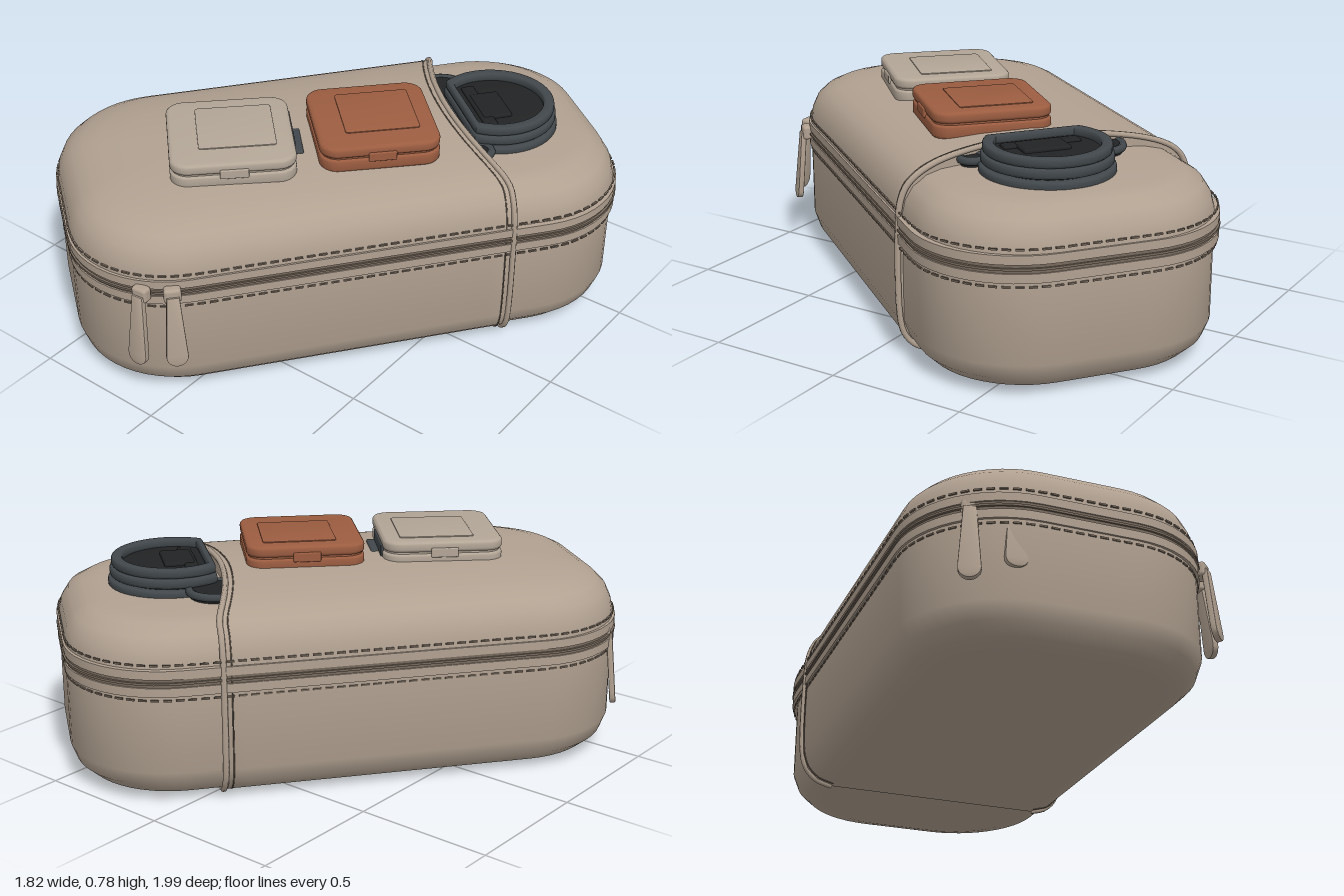
import * as THREE from 'three';
import { mergeGeometries, toCreasedNormals } from 'three/addons/utils/BufferGeometryUtils.js';
import { RoundedBoxGeometry } from 'three/addons/geometries/RoundedBoxGeometry.js';

const mat = (name, color) => Object.assign(new THREE.MeshStandardMaterial({ color }), { name });
const L = 1.005, W = 0.533, R = 0.37; // half length, half width, corner radius

export function createModel() {
  const fabric = mat('taupe fabric', 0xb1a191);
  const trim = mat('zipper brown', 0x776a5d);
  const pale = mat('pale case', 0xb3a697);
  const rust = mat('rust case', 0x9c5d41);
  const slate = mat('slate rubber', 0x41474b);
  const black = mat('black padding', 0x222324);

  const model = new THREE.Group();
  model.name = 'travelCase';
  const bag = new THREE.Group();
  bag.name = 'bag';
  bag.position.set(0.0175, 0, -0.0225);
  bag.rotation.y = THREE.MathUtils.degToRad(52.5);
  model.add(bag);

  const add = (parent, name, geo, m, x = 0, y = 0, z = 0) => {
    const mesh = new THREE.Mesh(geo, m);
    mesh.name = name;
    mesh.position.set(x, y, z);
    parent.add(mesh);
    return mesh;
  };

  // Rounded rectangle outline, shrunk by an inset
  function outline(inset) {
    const l = L - inset, w = W - inset, r = Math.max(0, R * (1 - Math.max(0, inset) / W));
    const corners = [[l - r, w - r], [r - l, w - r], [r - l, r - w], [l - r, r - w]];
    const pts = [];
    corners.forEach(([cx, cz], k) => {
      for (let i = 0; i <= 12; i++) {
        const a = (k + i / 12) * Math.PI / 2;
        pts.push([cx + r * Math.cos(a), cz + r * Math.sin(a)]);
      }
      const [nx, nz] = corners[(k + 1) % 4], a = (k + 1) * Math.PI / 2;
      for (let i = 1; i < 12; i++) {
        const t = i / 12;
        pts.push([cx + (nx - cx) * t + r * Math.cos(a), cz + (nz - cz) * t + r * Math.sin(a)]);
      }
    });
    return pts;
  }

  // Stack outlines along a profile of [inset, height]
  function loft(profile, place = (x, y, z) => [x, y, z]) {
    const pos = [], idx = [];
    const rings = profile.map(([d, y]) => outline(d).map(([x, z]) => place(x, y, z)));
    const n = rings[0].length;
    rings.forEach((ring) => ring.forEach((p) => pos.push(...p)));
    for (let i = 0; i < rings.length - 1; i++) {
      for (let j = 0; j < n; j++) {
        const a = i * n + j, b = i * n + (j + 1) % n;
        idx.push(a, a + n, b + n, a, b + n, b);
      }
    }
    const g = new THREE.BufferGeometry();
    g.setAttribute('position', new THREE.Float32BufferAttribute(pos, 3));
    g.setIndex(idx);
    return toCreasedNormals(g, 0.7);
  }

  // Front edge of the open pocket, dipping in the middle of the top
  const seam = (y, z) => 0.505 - (y > 0.55 ? 0.08 * Math.max(0, 1 - (z / 0.46) ** 2) : 0);

  // Inner shell, seen behind the pocket
  const floor = [[W, 0.008], [0.12, 0.01], [0.06, 0.025], [0.02, 0.065], [0, 0.12]];
  const shell = [...floor, [0, 0.5], [0.012, 0.55], [0.04, 0.595], [0.09, 0.625], [0.15, 0.635], [W, 0.638]];
  add(bag, 'rearShell', loft(shell, (x, y, z) => [x * 0.985 + 0.015, y, z * 0.977]), fabric);

  // Outer sleeve, cut off at the seam
  const sleeveProfile = [[W, 0.002], [0.12, 0.004], [0.06, 0.022], [0.02, 0.06], [0, 0.12], [0, 0.5],
    [0.008, 0.55], [0.028, 0.597], [0.06, 0.63], [0.1, 0.651], [0.16, 0.668], [0.25, 0.682], [0.36, 0.692], [W, 0.698]];
  add(bag, 'frontSleeve', loft(sleeveProfile, (x, y, z) => [Math.min(x, seam(y, z)), y, z]), fabric);

  // Piping along the cut edge of the sleeve
  const side = sleeveProfile.slice(1).map(([d, y]) => [W - d, y]);
  const seamPts = [...side, ...side.slice(0, -1).reverse().map(([z, y]) => [-z, y])]
    .map(([z, y]) => new THREE.Vector3(seam(y, z), y, z));
  const seamCurve = new THREE.CatmullRomCurve3(seamPts, false, 'centripetal');
  add(bag, 'seamPiping', new THREE.TubeGeometry(seamCurve, 120, 0.011, 6), fabric);
  const stitchCurve = new THREE.CatmullRomCurve3(seamPts.map((p) => new THREE.Vector3(p.x - 0.028, p.y, p.z)), false, 'centripetal');
  add(bag, 'seamStitching', new THREE.TubeGeometry(stitchCurve, 120, 0.0025, 5), trim);

  // Zipper bands round the whole bag
  const band = (name, y0, y1, out, m) =>
    add(bag, name, loft([[0.03, y0], [-out, y0], [-out, y1], [0.03, y1]]), m);
  band('lowerZipperTape', 0.405, 0.437, 0.007, fabric);
  band('zipperTeeth', 0.437, 0.467, 0.003, trim);
  band('zipperCoil', 0.448, 0.456, 0.009, trim);
  band('upperZipperTape', 0.467, 0.498, 0.007, fabric);

  // Dashed stitch rows above and below the zipper
  const edge = new THREE.CatmullRomCurve3(outline(-0.001).filter((p, i) => i % 2 === 0)
    .map(([x, z]) => new THREE.Vector3(x, 0, z)), true, 'centripetal');
  for (const y of [0.39, 0.515]) {
    const dashes = [];
    for (let i = 0; i < 130; i++) {
      const p = edge.getPointAt(i / 130), t = edge.getTangentAt(i / 130);
      dashes.push(new THREE.BoxGeometry(0.006, 0.006, 0.028)
        .rotateY(Math.atan2(t.x, t.z)).translate(p.x, y, p.z));
    }
    add(bag, 'stitchRow', mergeGeometries(dashes), trim);
  }

  // Headset cushion peeking out of the pocket: stacked D-shaped rims
  function dShape(r) {
    const s = new THREE.Shape();
    for (let i = 0; i < 48; i++) {
      const a = i / 48 * Math.PI * 2;
      const x = Math.max(r * Math.cos(a), -r * 0.62), y = r * Math.sin(a);
      if (i) s.lineTo(x, y); else s.moveTo(x, y);
    }
    return s;
  }
  const cushion = new THREE.Group();
  cushion.name = 'headsetCushion';
  cushion.position.set(0.595, 0, 0.04);
  bag.add(cushion);
  const slab = (shape, depth, bevel) => toCreasedNormals(new THREE.ExtrudeGeometry(shape, {
    depth: depth - 2 * bevel, bevelThickness: bevel, bevelSize: bevel, bevelOffset: -bevel,
    bevelSegments: 3, curveSegments: 10,
  }).rotateX(-Math.PI / 2).translate(0, bevel, 0), 0.7);
  [[0.232, 0.625], [0.225, 0.665], [0.218, 0.7]].forEach(([r, y]) => {
    const s = dShape(r);
    s.holes.push(dShape(r - 0.04));
    add(cushion, 'cushionRim', slab(s, 0.034, 0.01), slate, 0, y, 0);
  });
  add(cushion, 'cushionPad', slab(dShape(0.195), 0.075, 0.004), black, 0, 0.63, 0);
  add(cushion, 'cushionBlock', new RoundedBoxGeometry(0.11, 0.02, 0.17, 2, 0.008), black, -0.02, 0.708, 0.01);
  add(cushion, 'cushionBar', new RoundedBoxGeometry(0.05, 0.02, 0.28, 2, 0.008), black, -0.06, 0.705, 0);

  // Folded strap ends on both sides of the cushion
  [[0.47, -0.19, 0.11], [0.465, 0.26, 0.055]].forEach(([x, z, r]) => {
    add(bag, 'strapEnd', new THREE.CylinderGeometry(r - 0.015, r - 0.015, 0.04, 28), black, x, 0.645, z);
    add(bag, 'strapRim', new THREE.TorusGeometry(r - 0.015, 0.015, 8, 28).rotateX(Math.PI / 2), slate, x, 0.657, z);
  });

  // Two square snap cases on the lid
  function roundedSquare(s, r) {
    const h = s / 2, p = new THREE.Shape();
    p.moveTo(h, r - h);
    p.absarc(h - r, h - r, r, 0, Math.PI / 2);
    p.absarc(r - h, h - r, r, Math.PI / 2, Math.PI);
    p.absarc(r - h, r - h, r, Math.PI, Math.PI * 1.5);
    p.absarc(h - r, r - h, r, Math.PI * 1.5, Math.PI * 2);
    return p;
  }
  function snapCase(name, x, y, z, degrees, s, m) {
    const g = new THREE.Group();
    g.name = name;
    g.position.set(x, y, z);
    g.rotation.y = THREE.MathUtils.degToRad(degrees);
    add(g, 'lowerHalf', slab(roundedSquare(s, 0.065), 0.05, 0.01), m);
    add(g, 'hingeLine', slab(roundedSquare(s - 0.016, 0.06), 0.02, 0.002), m, 0, 0.04, 0);
    add(g, 'upperHalf', slab(roundedSquare(s, 0.065), 0.04, 0.012), m, 0, 0.055, 0);
    add(g, 'topPanel', slab(roundedSquare(s * 0.62, 0.012), 0.005, 0.001), m, 0.02, 0.0935, -0.02);
    for (const k of [-1, 1]) {
      add(g, 'latch', new RoundedBoxGeometry(0.1, 0.035, 0.012, 2, 0.005), m, 0, 0.055, k * s / 2);
    }
    model.add(g);
    return g;
  }
  const paleCase = snapCase('paleSnapCase', -0.177, 0.67, 0.338, 45, 0.44, pale);
  snapCase('rustSnapCase', 0.161, 0.676, -0.047, 47, 0.43, rust);

  // Dark hinge strip on the pale case
  add(paleCase, 'hingeStrip', new RoundedBoxGeometry(0.012, 0.06, 0.22, 2, 0.005), slate, 0.22, 0.04, -0.04);
  add(paleCase, 'hingeFoot', new RoundedBoxGeometry(0.04, 0.02, 0.16, 2, 0.008), slate, 0.235, 0.022, -0.01);

  // Zipper sliders with hanging pulls
  const pull = new THREE.Shape();
  pull.moveTo(-0.018, 0);
  pull.lineTo(-0.034, -0.22);
  pull.absarc(0, -0.232, 0.034, Math.PI, Math.PI * 2);
  pull.lineTo(0.018, 0);
  const pullGeo = toCreasedNormals(new THREE.ExtrudeGeometry(pull, {
    depth: 0.012, bevelThickness: 0.005, bevelSize: 0.004, bevelSegments: 2, curveSegments: 8,
  }), 0.7);
  [[-0.835, 0.47, -0.85, 0.5, 0], [-0.755, 0.575, -0.65, 0.75, 0.03],
    [-0.07, 0.92, 0.1, 1, 0], [0.01, 0.865, 0.75, 0.65, 0]].forEach(([x, z, nx, nz, lift]) => {
    const g = new THREE.Group();
    g.name = 'zipperPull';
    g.position.set(x, 0.45, z);
    g.rotation.y = Math.atan2(nx, nz);
    add(g, 'slider', new RoundedBoxGeometry(0.06, 0.055, 0.04, 2, 0.012), fabric, 0, 0.005, 0.01);
    const tab = add(g, 'pullTab', pullGeo, fabric, 0, 0, 0.02);
    tab.rotation.x = -0.1;
    tab.scale.y = 1 - lift * 6;
    model.add(g);
  });

  return model;
}
